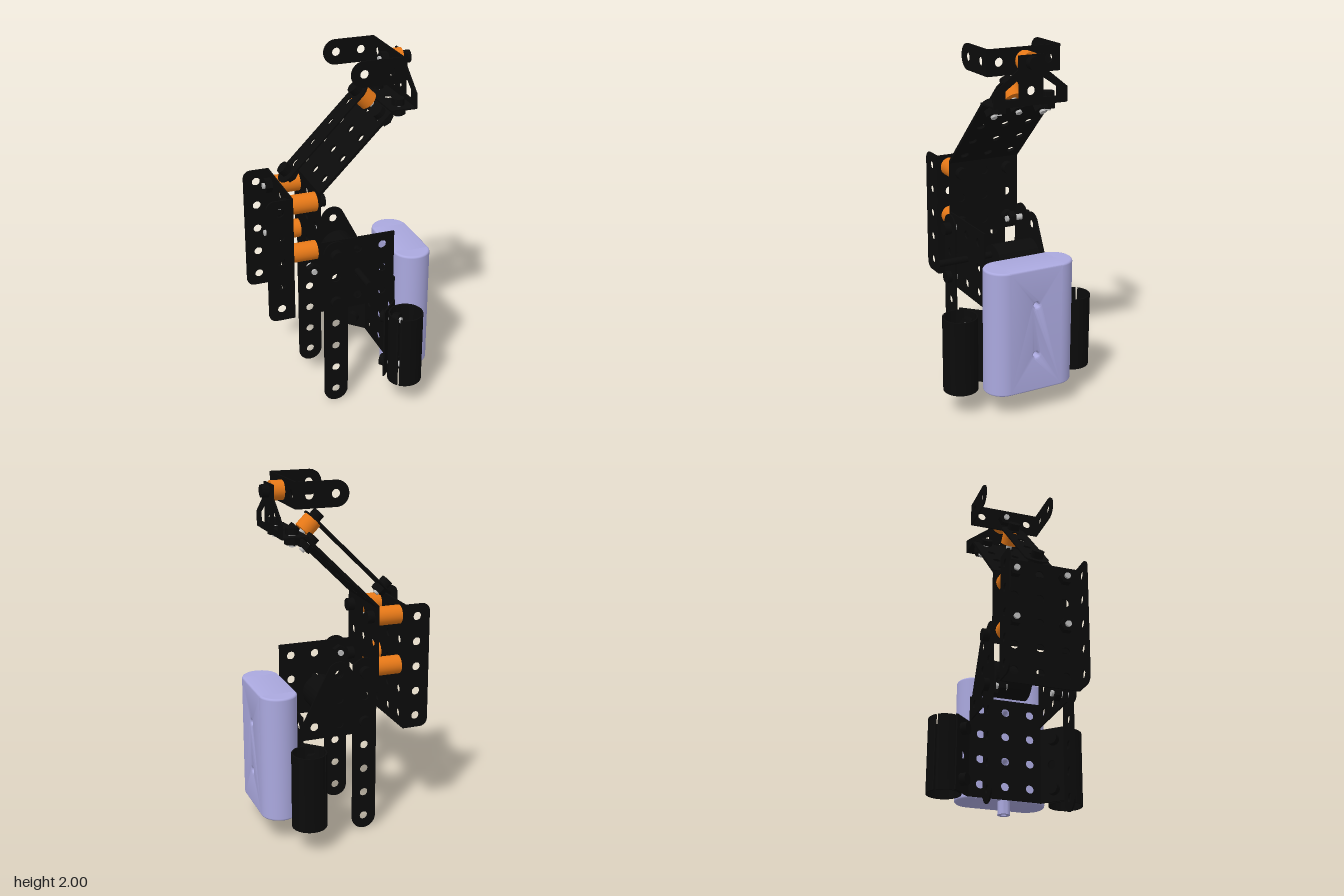
import * as THREE from 'three';
import { toCreasedNormals } from 'three/addons/utils/BufferGeometryUtils.js';

const mat = (color) => new THREE.MeshStandardMaterial({ color });
const V = (x, y, z) => new THREE.Vector3(x, y, z);
const X = V(1, 0, 0), Y = V(0, 1, 0), Z = V(0, 0, 1);
const PITCH = 0.145, T = 0.009, HOLE = 0.024, MID = -0.016;

export function createModel() {
  const model = new THREE.Group();
  const black = mat(0x0b0b0b), orange = mat(0xe67817), lavender = mat(0xaaa8de), steel = mat(0xb8b8b8);

  const add = (name, geo, material, parent = model) => {
    const m = new THREE.Mesh(geo, material);
    m.name = name;
    parent.add(m);
    return m;
  };

  const punch = (shape, x, y, r = HOLE) => {
    const h = new THREE.Path();
    h.absarc(x, y, r, 0, Math.PI * 2, true);
    shape.holes.push(h);
  };

  // Rectangle centred on the origin; rl and rr round its left and right ends
  const rect = (w, h, rl = 0, rr = 0) => {
    const s = new THREE.Shape(), a = w / 2, b = h / 2, q = Math.PI / 2;
    const corner = (x, y, r, from) => (r ? s.absarc(x, y, r, from, from + q, false) : s.lineTo(x, y));
    s.moveTo(-a + rl, -b);
    corner(a - rr, -b + rr, rr, -q);
    corner(a - rr, b - rr, rr, 0);
    corner(-a + rl, b - rl, rl, q);
    corner(-a + rl, -b + rl, rl, 2 * q);
    return s;
  };

  const solid = (shape, depth = T) => {
    const g = new THREE.ExtrudeGeometry(shape, { depth, bevelEnabled: false, curveSegments: 12 });
    return toCreasedNormals(g.translate(0, 0, -depth / 2), 0.6);
  };

  // Put a part at p with its own x along u and its own y along v
  const place = (mesh, p, u, v) => {
    mesh.applyMatrix4(new THREE.Matrix4().makeBasis(u, v, u.clone().cross(v)).setPosition(p));
    return mesh;
  };

  // Sheet with an nx by ny grid of holes
  const plate = (name, p, u, v, w, h, nx, ny, rl = 0, rr = 0) => {
    const s = rect(w, h, rl, rr);
    for (let i = 0; i < nx; i++)
      for (let j = 0; j < ny; j++) punch(s, (i - (nx - 1) / 2) * PITCH, (j - (ny - 1) / 2) * PITCH);
    return place(add(name, solid(s), black), p, u, v);
  };

  // Round or hexagonal rod from a to b
  const rod = (name, a, b, r, material, sides = 28) => {
    const g = new THREE.CylinderGeometry(r, r, a.distanceTo(b), sides);
    const m = add(name, sides < 10 ? toCreasedNormals(g, 0.3) : g, material);
    m.position.copy(a).add(b).multiplyScalar(0.5);
    m.quaternion.setFromUnitVectors(Y, b.clone().sub(a).normalize());
    return m;
  };

  // Screw head at a, hexagonal nut past b, steel shank between
  const bolt = (a, b, head = 0.04) => {
    const d = b.clone().sub(a).normalize();
    const at = (p, k) => p.clone().addScaledVector(d, k);
    rod('screwShank', a, at(b, 0.05), 0.017, steel, 16);
    rod('screwHead', at(a, -head), a, 0.035, black, 20);
    rod('nut', b, at(b, 0.037), 0.042, black, 6);
  };

  // Side channel
  plate('channelWeb', V(-0.338, 0.94, MID), Z, Y, 0.44, 0.72, 3, 5);
  for (const z of [-0.234, 0.202]) plate('channelFlange', V(-0.409, 0.94, z), X, Y, 0.148, 0.72, 1, 5, 0.045);

  // Spacers between the channel and the upright plate
  for (const y of [0.94, 1.23])
    for (const z of [MID - PITCH, MID + PITCH]) {
      rod('spacer', V(-0.333, y, z), V(-0.186, y, z), 0.053, orange);
      bolt(V(-0.176, y, z), V(-0.343, y, z));
    }

  // Upright plate and sloping arm plate
  const up = V(1, 1, 0).normalize(), out = V(-1, 1, 0).normalize();
  plate('uprightPlate', V(-0.181, 1.083, MID), Z, Y, 0.43, 0.44, 3, 3);
  plate('armPlate', V(0.025, 1.505, MID), up, Z, 0.58, 0.43, 4, 3).scale.z = 1.7;

  // Thin strap parallel to the arm, with its fasteners
  plate('armStrap', V(-0.09, 1.56, MID), up, Z, 0.70, 0.14, 4, 1, 0.068, 0.068);
  const top = V(0.115, 1.765, MID), low = V(-0.29, 1.36, MID);
  const along = (p, k) => p.clone().addScaledVector(out, k);
  rod('strapSpacer', top, along(top, -0.085), 0.053, orange);
  bolt(along(top, 0.006), along(top, -0.125));
  bolt(along(low, 0.006), along(low, -0.006));

  // Bent bracket joining the arm to the top fork
  plate('bracketFoot', V(0.29, 1.712, MID), X, Z, 0.15, 0.43, 1, 3);
  for (const s of [-1, 1]) {
    const z = MID + s * PITCH;
    bolt(V(0.285, 1.722, z), V(0.285, 1.705, z), 0.035);
    bolt(V(0.185, 1.68, z), V(0.2, 1.665, z), 0.03);
  }
  const face = new THREE.Shape([[-0.215, 0], [0.215, 0], [0.215, 0.08], [0.075, 0.19], [0.075, 0.26],
    [-0.075, 0.26], [-0.075, 0.19], [-0.215, 0.08]].map(([x, y]) => new THREE.Vector2(x, y)));
  for (const s of [-1, 1])
    face.holes.push(new THREE.Path([[0.15, 0.035], [0.07, 0.035], [0.07, 0.14], [0.15, 0.085]]
      .map(([x, y]) => new THREE.Vector2(s * x, y))));
  punch(face, 0, 0.075);
  punch(face, 0, 0.22);
  place(add('bracketFace', solid(face), black), V(0.361, 1.71, MID), Z, Y);

  // Top fork
  plate('forkWeb', V(0.283, 1.93, MID), Z, Y, 0.425, 0.14, 3, 1);
  for (const z of [-0.224, 0.194]) plate('forkArm', V(0.138, 1.93, z), X, Y, 0.29, 0.14, 2, 1, 0.069);
  rod('forkSpacer', V(0.288, 1.93, MID), V(0.357, 1.93, MID), 0.053, orange);
  bolt(V(0.366, 1.93, MID), V(0.278, 1.93, MID));

  // Body: square front plate and tapered back plate
  plate('frontPlate', V(0.036, 0.795, 0.196), X, Y, 0.43, 0.43, 3, 3);
  const gusset = new THREE.Shape();
  gusset.moveTo(-0.18, 0.58);
  gusset.lineTo(0.25, 0.58);
  gusset.lineTo(0.25, 0.68);
  gusset.absarc(0.04, 0.94, 0.07, 0.6, Math.PI - 0.6, false);
  gusset.lineTo(-0.18, 0.72);
  for (const x of [-0.105, 0.04, 0.185]) punch(gusset, x, 0.65);
  punch(gusset, 0.04, 0.795);
  punch(gusset, 0.04, 0.94);
  place(add('backPlate', solid(gusset), black), V(0, 0, -0.21), X, Y);

  // Motor housing and its axle
  rod('motor', V(0.06, 0.76, -0.2), V(0.06, 0.76, 0.05), 0.1, black);
  rod('axle', V(0.037, 0.797, -0.2), V(0.037, 0.797, 0.372), 0.019, black, 20);

  // Legs
  for (const [z, s] of [[0.232, 1], [-0.222, -1]]) {
    plate('leg', V(-0.105, 0.51, z), Y, X, 1.02, 0.14, 7, 1, 0.069, 0.069);
    for (const y of [0.65, 0.94]) bolt(V(-0.105, y, z + s * 0.005), V(-0.105, y, z - s * 0.05), y > 0.8 ? 0.04 : 0.03);
  }

  // Carrier plate with angled wings holding two split tubes
  plate('carrierPlate', V(0.256, 0.43, -0.008), Z, Y, 0.42, 0.58, 3, 4);
  for (const s of [-1, 1]) {
    const z0 = s > 0 ? 0.2 : -0.215;
    plate('carrierWing', V(0.21, 0.355, z0 + s * 0.053), V(-0.7071, 0, s * 0.7071), Y, 0.15, 0.43, 1, 3);
    for (const y of [0.21, 0.5]) bolt(V(0.203, y, z0 + s * 0.065), V(0.222, y, z0 + s * 0.085), 0.045);

    const slit = s > 0 ? Math.PI * 1.25 : Math.PI * 0.75, end = slit + Math.PI * 2;
    const ring = new THREE.Shape();
    ring.absarc(0, 0, 0.097, slit + 0.06, end - 0.06, false);
    ring.absarc(0, 0, 0.089, end - 0.06, slit + 0.06, true);
    const g = new THREE.ExtrudeGeometry(ring, { depth: 0.43, bevelEnabled: false, curveSegments: 48 });
    place(add('splitTube', toCreasedNormals(g, 0.5), black), V(0.267, 0.14, s * 0.354), X, V(0, 0, -1));
  }

  // Battery pack: drilled slab with rounded ends
  const pack = new THREE.Group();
  pack.name = 'batteryPack';
  model.add(pack);
  const R = 0.105, H = 0.715, B = 0.012;
  const slab = rect(0.31 + 2 * B, H);
  for (const y of [-0.1425, 0.1475]) punch(slab, 0, y, 0.016);
  const slabGeo = new THREE.ExtrudeGeometry(slab, {
    depth: 2 * (R - B), bevelThickness: B, bevelSize: B, bevelOffset: -B, bevelSegments: 3, curveSegments: 12,
  }).translate(0, 0, B - R);
  place(add('packSlab', toCreasedNormals(slabGeo, 0.7), lavender, pack), V(0.376, 0.4975, 0), Z, Y);
  const profile = [new THREE.Vector2(0, -H / 2)];
  for (const s of [-1, 1])
    for (let i = 0; i <= 4; i++) {
      const a = (s < 0 ? i - 4 : i) * Math.PI / 8;
      profile.push(new THREE.Vector2(R - B + B * Math.cos(a), s * (H / 2 - B) + B * Math.sin(a)));
    }
  profile.push(new THREE.Vector2(0, H / 2));
  for (const s of [-1, 1]) {
    const e = add('packEnd', new THREE.LatheGeometry(profile, 24, -Math.PI / 2, Math.PI), lavender, pack);
    e.position.set(0.376, 0.4975, s * 0.155);
    e.rotation.y = s > 0 ? 0 : Math.PI;
  }

  // Hollow socket under the pack
  const nub = [[0.016, 0.08], [0.016, 0], [0.035, 0], [0.035, 0.08]].map(([x, y]) => new THREE.Vector2(x, y));
  const socket = add('packSocket', toCreasedNormals(new THREE.LatheGeometry(nub, 24), 0.6), lavender, pack);
  socket.position.set(0.3, 0.065, 0);

  return model;
}
